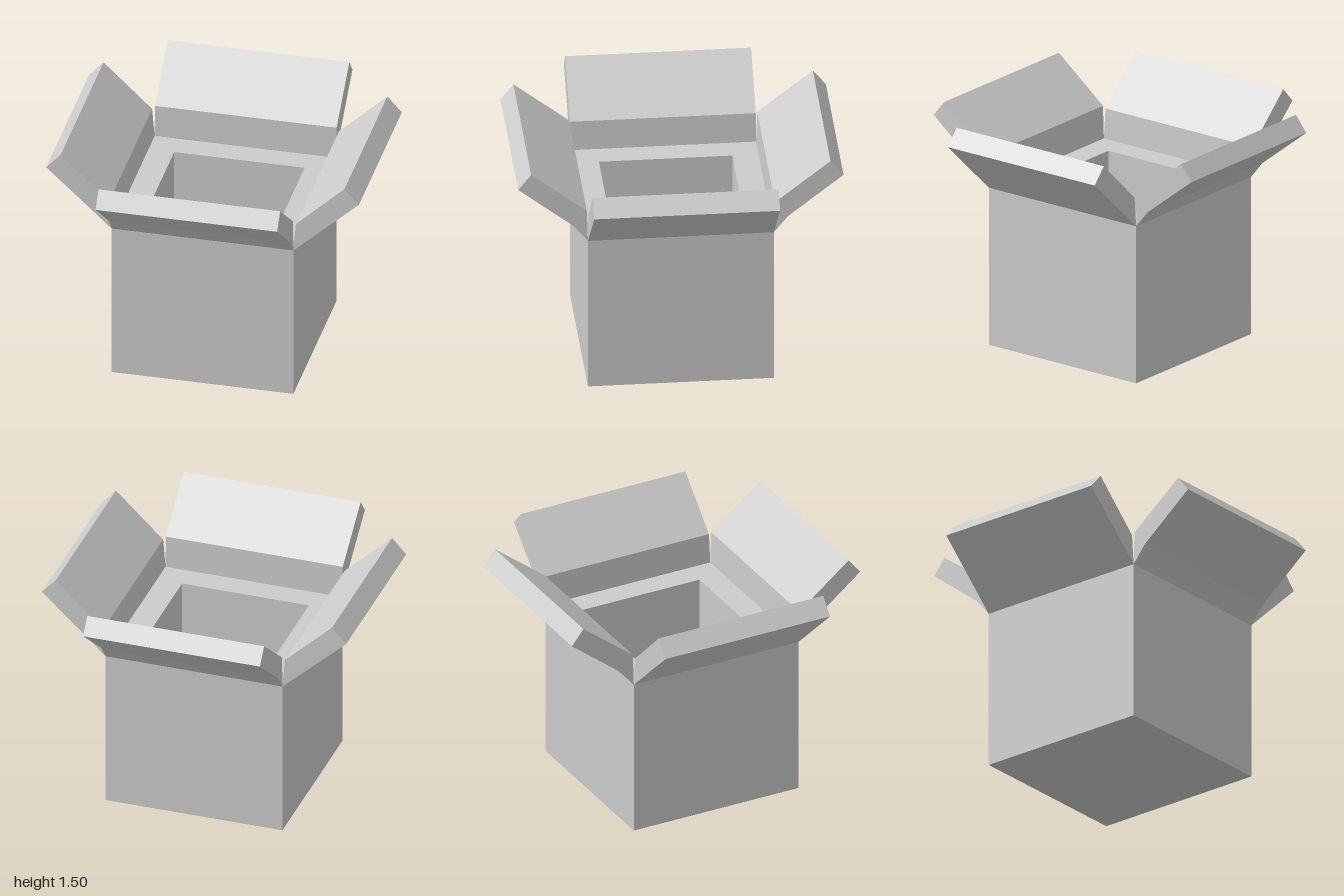
import * as THREE from 'three';

const HALF = 0.571, RIM = 0.41, TOP = 1.02, FLOOR = 0.16;
const material = new THREE.MeshStandardMaterial({ color: 0xcccccc, flatShading: true });

// Flap cross-section (outward distance, height) swept along one side of the box
function makeFlap(name, profile, angle) {
  const shape = new THREE.Shape(profile.map(([x, y]) => new THREE.Vector2(x, y)));
  const geometry = new THREE.ExtrudeGeometry(shape, { depth: 2 * HALF, bevelEnabled: false });
  geometry.translate(0, 0, -HALF);
  const flap = new THREE.Mesh(geometry, material);
  flap.name = name;
  flap.rotation.y = angle;
  return flap;
}

export function createModel() {
  const group = new THREE.Group();
  group.name = 'openBox';

  // Hollow square body: underside, outer wall, rim, inner wall and floor
  const d = Math.SQRT2;
  const bodyProfile = [
    [0, 0], [HALF * d, 0], [HALF * d, TOP],
    [RIM * d, TOP], [RIM * d, FLOOR], [0, FLOOR],
  ].map(([r, y]) => new THREE.Vector2(r, y));
  const body = new THREE.Mesh(new THREE.LatheGeometry(bodyProfile, 4, Math.PI / 4), material);
  body.name = 'boxBody';
  group.add(body);

  // Side flaps are straight underneath; front and back flaps have a fold
  const sideProfile = [[HALF, TOP], [0.983, 1.4], [0.892, 1.5], [0.587, 1.21]];
  const endProfile = [[HALF, TOP], [0.66, 1.13], [1, 1.4], [0.92, 1.5], [0.578, 1.23]];
  group.add(
    makeFlap('leftFlap', sideProfile, 0),
    makeFlap('rightFlap', sideProfile, Math.PI),
    makeFlap('frontFlap', endProfile, -Math.PI / 2),
    makeFlap('backFlap', endProfile, Math.PI / 2),
  );
  return group;
}
